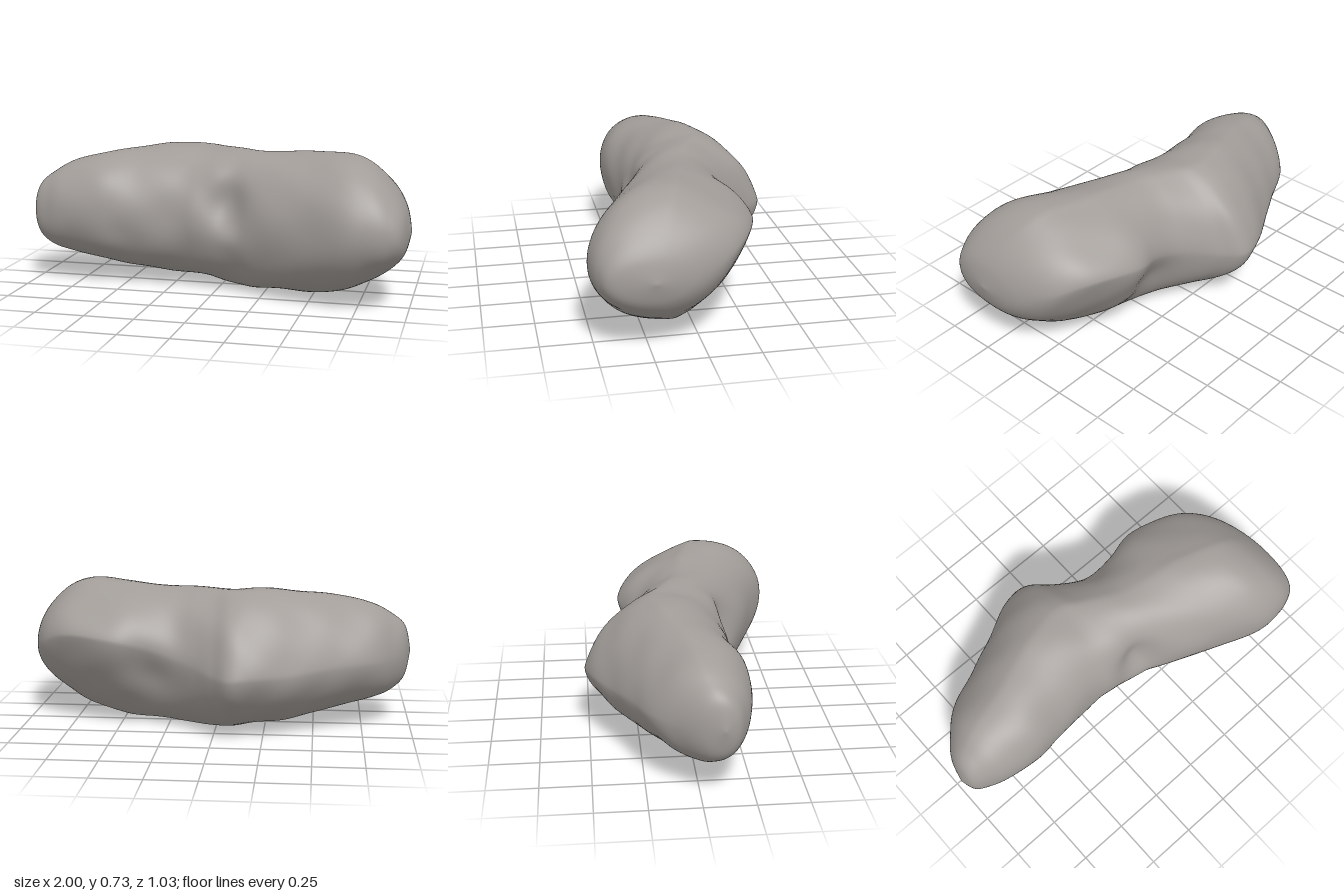
import * as THREE from 'three';
import { mergeVertices } from 'three/addons/utils/BufferGeometryUtils.js';

// Cross-sections: x, back z, front z, bottom y, top y, back lift, back roundness
const SECTIONS = [
  [-1.0, 0.10, 0.10, 0.38, 0.38, 0, 2],
  [-0.97, -0.01, 0.17, 0.25, 0.51, 0, 2],
  [-0.9, -0.11, 0.21, 0.18, 0.58, -0.01, 1.8],
  [-0.8, -0.21, 0.245, 0.145, 0.635, -0.02, 1.65],
  [-0.6, -0.31, 0.265, 0.10, 0.685, -0.03, 1.6],
  [-0.4, -0.41, 0.235, 0.055, 0.71, -0.04, 1.55],
  [-0.2, -0.5, 0.225, 0.03, 0.73, -0.04, 1.5],
  [-0.09, -0.515, 0.24, 0.018, 0.725, -0.04, 1.5],
  [0.0, -0.43, 0.25, 0.01, 0.72, -0.03, 1.55],
  [0.1, -0.34, 0.255, 0.005, 0.718, 0, 1.65],
  [0.2, -0.295, 0.3, 0, 0.715, 0.03, 1.65],
  [0.34, -0.295, 0.365, 0.01, 0.72, 0.07, 1.55],
  [0.5, -0.315, 0.43, 0.022, 0.728, 0.1, 1.45],
  [0.68, -0.27, 0.505, 0.055, 0.733, 0.1, 1.4],
  [0.8, -0.21, 0.515, 0.115, 0.69, 0.08, 1.5],
  [0.9, -0.11, 0.495, 0.185, 0.605, 0.04, 1.7],
  [0.97, 0.05, 0.43, 0.27, 0.5, 0, 2],
  [1.0, 0.24, 0.24, 0.38, 0.38, 0, 2],
];

// Dents and swells: x, y, z, radius, push along z
const DENTS = [
  [0.07, 0.47, 0.25, 0.17, -0.06],
  [0.08, 0.3, 0.25, 0.09, 0.015],
  [-0.5, 0.3, 0.25, 0.1, -0.008],
  [0.32, 0.3, -0.27, 0.15, 0.03],
  [-0.45, 0.4, -0.38, 0.14, 0.01],
  [0.85, 0.2, 0.4, 0.1, -0.015],
];

// Smooth interpolation of every section column
function sectionAt(t) {
  const f = t * (SECTIONS.length - 1);
  const i = Math.min(Math.floor(f), SECTIONS.length - 2);
  const u = f - i;
  const at = (k) => SECTIONS[THREE.MathUtils.clamp(k, 0, SECTIONS.length - 1)];
  return SECTIONS[0].map((_, c) => {
    const [a, b, d, e] = [at(i - 1)[c], at(i)[c], at(i + 1)[c], at(i + 2)[c]];
    return b + 0.5 * u * (d - a + u * (2 * a - 5 * b + 4 * d - e + u * (3 * (b - d) + e - a)));
  });
}

const roundPower = (v, p) => Math.sign(v) * Math.pow(Math.abs(v), 2 / p);

function surfacePoint(t, angle) {
  const [x, back, front, bottom, top, lift, roundness] = sectionAt(t);
  const c = Math.cos(angle), s = Math.sin(angle);
  // Rounded at the front, wedge-shaped towards the back; blended over the top
  const p = THREE.MathUtils.lerp(2.1, roundness, THREE.MathUtils.smoothstep(-c, -0.2, 0.3));
  const across = roundPower(c, p);
  let z = (back + front) / 2 + across * (front - back) / 2;
  let y = (bottom + top) / 2 + roundPower(s, p) * (top - bottom) / 2;
  if (c < 0) y += lift * across * across;
  for (const [dx, dy, dz, r, push] of DENTS) {
    const d2 = (x - dx) ** 2 + (y - dy) ** 2 + 0.5 * (z - dz) ** 2;
    z += push * Math.exp(-2 * d2 / (r * r));
  }
  // Gentle lumps, fading out at both ends
  const bump = 0.005 * Math.sin(Math.PI * t) *
    (Math.sin(9 * x + 7 * y) * Math.sin(8 * z + 3) + Math.sin(19 * x - 13 * z) * Math.sin(17 * y + 1));
  return [x, Math.max(0, y + bump * s), z + bump * c];
}

function createRockGeometry(rings = 136, sides = 80) {
  const positions = [], indices = [];
  for (let i = 0; i <= rings; i++) {
    for (let j = 0; j < sides; j++) {
      positions.push(...surfacePoint(i / rings, (j / sides) * Math.PI * 2));
    }
  }
  for (let i = 0; i < rings; i++) {
    for (let j = 0; j < sides; j++) {
      const a = i * sides + j, b = a + sides;
      const d = i * sides + (j + 1) % sides, c = d + sides;
      indices.push(a, b, c, a, c, d);
    }
  }
  const geometry = new THREE.BufferGeometry();
  geometry.setAttribute('position', new THREE.Float32BufferAttribute(positions, 3));
  geometry.setIndex(indices);
  const merged = mergeVertices(geometry, 1e-5);
  merged.computeVertexNormals();
  return merged;
}

export function createModel() {
  const group = new THREE.Group();
  group.name = 'asteroid';
  // One continuous rocky body
  const body = new THREE.Mesh(
    createRockGeometry(),
    new THREE.MeshStandardMaterial({ color: 0xa29d99 })
  );
  body.name = 'rockBody';
  group.add(body);
  return group;
}
